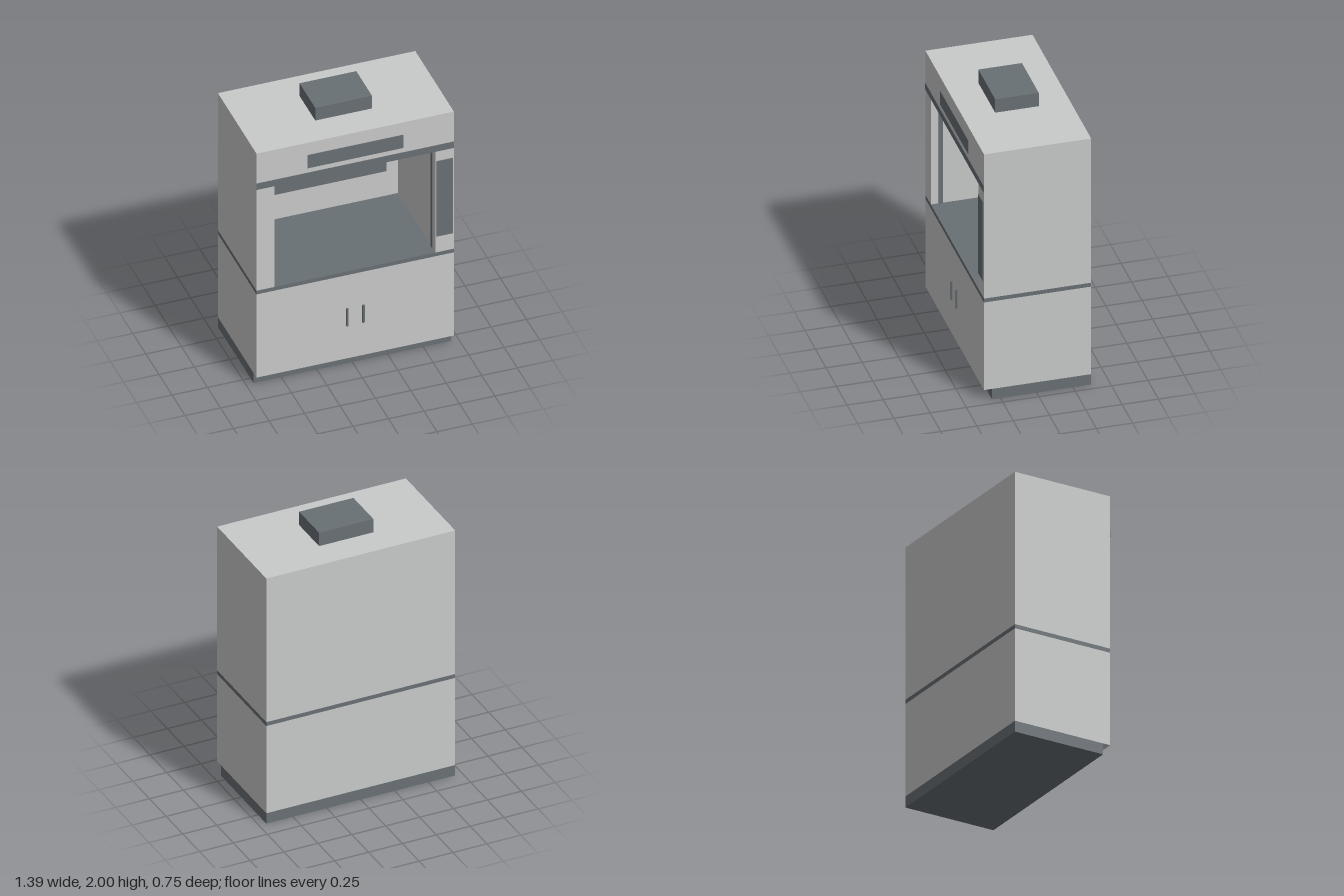
import * as THREE from 'three';

export function createModel() {
  const model = new THREE.Group();
  model.name = 'fumeCupboard';

  const shell = new THREE.MeshStandardMaterial({ name: 'light grey shell', color: 0xc9cbca });
  const trim = new THREE.MeshStandardMaterial({ name: 'slate grey trim', color: 0x697075 });

  const W = 0.696, BACK = -0.375, FRONT = 0.363;
  const INNER = 0.568, FLOOR = 0.785, CEILING = 1.605;

  // Box given by its limits along x, y and z
  function box(name, material, [x0, x1], [y0, y1], [z0, z1]) {
    const mesh = new THREE.Mesh(new THREE.BoxGeometry(x1 - x0, y1 - y0, z1 - z0), material);
    mesh.position.set((x0 + x1) / 2, (y0 + y1) / 2, (z0 + z1) / 2);
    mesh.name = name;
    model.add(mesh);
    return mesh;
  }

  const depth = [BACK, FRONT];

  // Recessed plinth, base cabinet and worktop
  box('plinth', trim, [-W, W], [0, 0.08], [BACK, 0.308]);
  box('cabinetRight', shell, [-W, 0], [0.08, 0.755], depth);
  box('cabinetLeft', shell, [0, W], [0.08, 0.755], depth);
  box('worktop', trim, [-W, W], [0.755, FLOOR], depth);

  // Work chamber: posts with sash tracks, and a thin back wall
  for (const s of [-1, 1]) {
    const side = s < 0 ? 'Right' : 'Left';
    const span = (a, b) => (s < 0 ? [-b, -a] : [a, b]);
    box('sidePost' + side, shell, span(INNER, W), [FLOOR, CEILING], depth);
    box('sashTrack' + side, trim, span(INNER - 0.006, INNER), [FLOOR, CEILING], [0.28, 0.31]);

    // Rounded bar handle on each cabinet door
    const handle = new THREE.Mesh(new THREE.CylinderGeometry(0.009, 0.009, 0.14, 16), trim);
    handle.position.set(s * 0.057, 0.418, FRONT + 0.003);
    handle.name = 'doorHandle' + side;
    model.add(handle);
  }
  box('backWall', shell, [-INNER, INNER], [FLOOR, CEILING], [BACK, -0.362]);
  box('baffle', trim, [-0.48, 0.48], [1.0, 1.435], [-0.362, -0.338]);
  box('upperSlot', trim, [-0.48, 0.48], [1.581, 1.589], [-0.362, -0.338]);

  // Hood with its front rail, display strip and exhaust collar
  box('hood', shell, [-W, W], [CEILING, 1.897], depth);
  box('frontRail', trim, [-W, W], [CEILING, 1.655], [FRONT, FRONT + 0.004]);
  box('displayStrip', trim, [-0.338, 0.338], [1.693, 1.798], [FRONT, FRONT + 0.005]);
  box('exhaustCollar', trim, [-0.2, 0.2], [1.897, 2], [-0.158, 0.142]);

  // Control panel on the left post
  box('controlPanel', trim, [0.574, 0.688], [0.917, 1.525], [FRONT, FRONT + 0.007]);

  return model;
}
